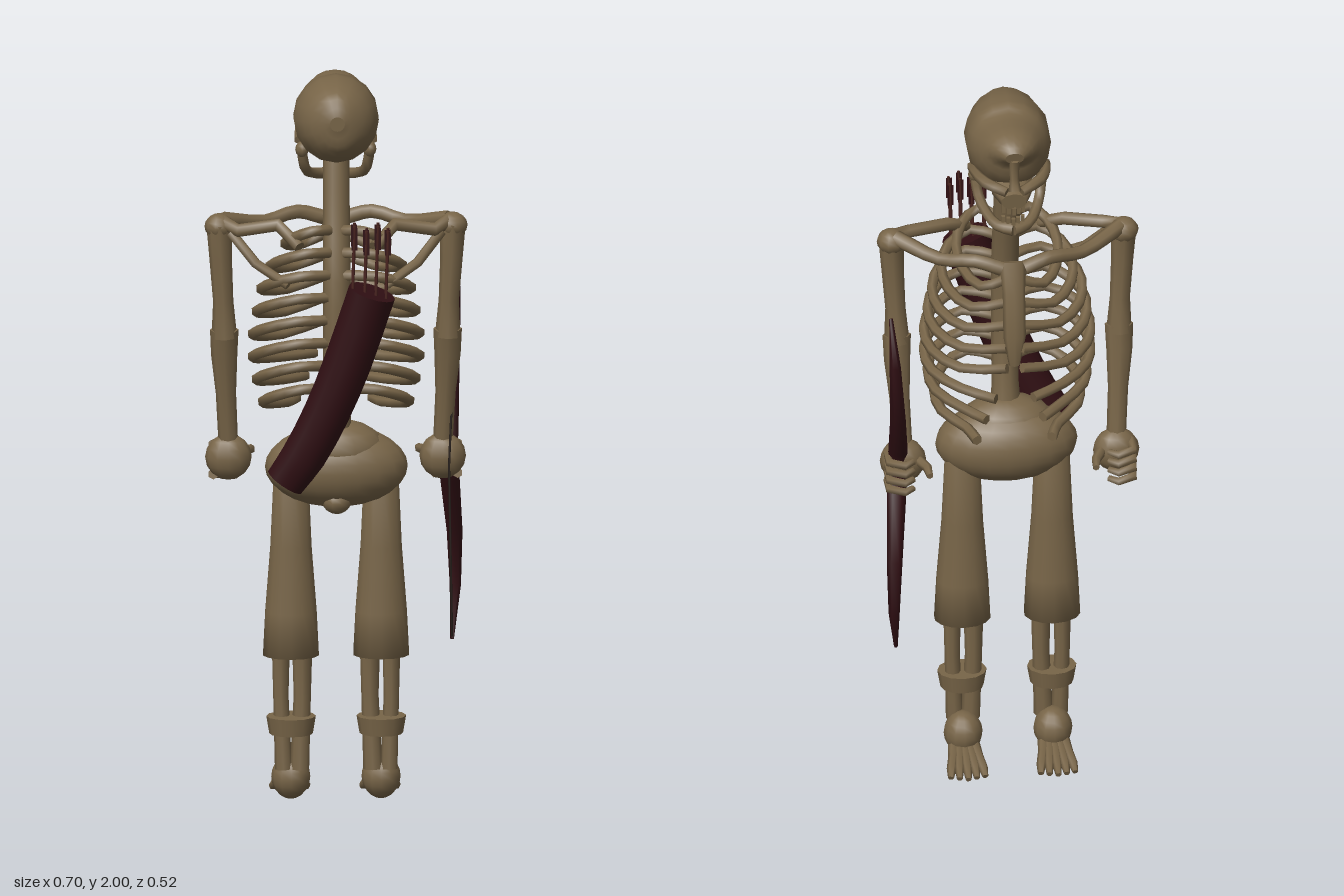
import * as THREE from 'three';

const mat = (name, color) => {
  const m = new THREE.MeshStandardMaterial({ color, side: THREE.DoubleSide });
  m.name = name;
  return m;
};

export function createModel() {
  const root = new THREE.Group();
  root.name = 'skeletonArcher';
  const bone = mat('bone', 0x786548);
  const leather = mat('dark red leather', 0x300f13);
  const cord = mat('dark cord', 0x2a211c);
  const shaft = mat('arrow wood', 0x4a2420);

  const add = (name, geo, material = bone, pos = [0, 0, 0], parent = root) => {
    const m = new THREE.Mesh(geo, material);
    m.name = name;
    m.position.set(...pos);
    parent.add(m);
    return m;
  };

  // Capped tube through points [x, y, z, radius along ref, radius across]
  const loft = (pts, { sides = 8, ref = [1, 0, 0], smooth = 0 } = {}) => {
    let st = pts.map(([x, y, z, a, b = a]) => ({ p: new THREE.Vector3(x, y, z), a, b }));
    if (smooth) {
      const curve = new THREE.CatmullRomCurve3(st.map(s => s.p));
      const n = smooth * (st.length - 1), src = st;
      st = Array.from({ length: n + 1 }, (_, i) => {
        const k = Math.min(Math.floor(i / smooth), src.length - 2), f = i / smooth - k;
        return {
          p: curve.getPoint(i / n),
          a: THREE.MathUtils.lerp(src[k].a, src[k + 1].a, f),
          b: THREE.MathUtils.lerp(src[k].b, src[k + 1].b, f),
        };
      });
    }
    const pos = [], idx = [], last = st.length - 1, up = new THREE.Vector3(...ref);
    const ring = i => {
      const t = st[Math.min(i + 1, last)].p.clone().sub(st[Math.max(i - 1, 0)].p).normalize();
      const s = up.clone().addScaledVector(t, -up.dot(t)).normalize();
      const b = t.clone().cross(s);
      for (let j = 0; j < sides; j++) {
        const w = j / sides * Math.PI * 2;
        pos.push(...st[i].p.clone().addScaledVector(s, st[i].a * Math.cos(w))
          .addScaledVector(b, st[i].b * Math.sin(w)).toArray());
      }
    };
    st.forEach((_, i) => ring(i));
    for (let i = 0; i < last; i++) for (let j = 0; j < sides; j++) {
      const k = (j + 1) % sides, A = i * sides, B = A + sides;
      idx.push(A + j, A + k, B + j, A + k, B + k, B + j);
    }
    for (const end of [0, last]) {
      const o = pos.length / 3;
      ring(end);
      pos.push(...st[end].p.toArray());
      for (let j = 0; j < sides; j++) {
        const k = (j + 1) % sides;
        idx.push(o + sides, o + (end ? j : k), o + (end ? k : j));
      }
    }
    const g = new THREE.BufferGeometry();
    g.setAttribute('position', new THREE.Float32BufferAttribute(pos, 3));
    g.setIndex(idx);
    g.computeVertexNormals();
    return g;
  };
  const ball = (rx, ry, rz, w = 14, h = 10) => new THREE.SphereGeometry(1, w, h).scale(rx, ry, rz);
  const flip = (s, pts) => pts.map(([x, ...r]) => [x * s, ...r]);
  const Y = [0, 1, 0], Z = [0, 0, 1];

  // Cranium, lofted from the back of the head to the brow
  add('cranium', loft([
    [0, 1.90, 0.12, 0.02, 0.02], [0, 1.90, 0.108, 0.065, 0.05], [0, 1.895, 0.07, 0.095, 0.09],
    [0, 1.885, 0.01, 0.115, 0.113], [0, 1.882, -0.06, 0.118, 0.113], [0, 1.90, -0.115, 0.093, 0.098],
    [0, 1.925, -0.155, 0.06, 0.078], [0, 1.932, -0.195, 0.037, 0.052], [0, 1.928, -0.218, 0.018, 0.025],
  ], { sides: 16, ref: Y, smooth: 2 }));
  // Face around the open sockets
  add('noseBridge', loft([[0, 1.92, -0.212, 0.014], [0, 1.86, -0.207, 0.012], [0, 1.83, -0.222, 0.017]], { sides: 6 }));
  add('upperJaw', loft([[0, 1.81, -0.10, 0.035, 0.06], [0, 1.79, -0.15, 0.035, 0.055], [0, 1.785, -0.2, 0.025, 0.035]],
    { sides: 10, ref: Y }));
  for (const s of [-1, 1]) {
    add('cheekBone', loft(flip(s, [[0.098, 1.815, -0.05, 0.013], [0.095, 1.83, -0.11, 0.013],
      [0.072, 1.828, -0.165, 0.016], [0.02, 1.815, -0.2, 0.014]]), { sides: 6, ref: Y, smooth: 2 }));
    add('jawHinge', ball(0.018, 0.022, 0.02, 8, 6), bone, [s * 0.09, 1.79, -0.05]);
    add('jaw', loft(flip(s, [[0.09, 1.79, -0.05, 0.014], [0.082, 1.735, -0.07, 0.014],
      [0.065, 1.708, -0.12, 0.014], [0.04, 1.695, -0.165, 0.015], [0, 1.692, -0.185, 0.018]]),
    { sides: 7, ref: [s, 0, 0], smooth: 2 }));
  }
  for (let i = -2; i <= 2; i++) {
    const z = -0.197 + Math.abs(i) * 0.008;
    add('upperTooth', new THREE.BoxGeometry(0.01, 0.022, 0.01), bone, [i * 0.013, 1.755, z]);
    add('lowerTooth', new THREE.BoxGeometry(0.01, 0.02, 0.01), bone, [i * 0.013, 1.715, z + 0.012]);
  }

  // Spine
  add('spine', loft([[0, 1.80, -0.035, 0.035], [0, 1.62, 0.005, 0.036], [0, 1.45, 0.045, 0.037],
    [0, 1.25, 0.05, 0.036], [0, 1.1, 0.035, 0.036], [0, 0.98, 0.02, 0.045]], { sides: 10, smooth: 3 }));

  // Breastbone
  add('breastbone', loft([[0, 1.58, -0.165, 0.035, 0.016], [0, 1.50, -0.195, 0.03, 0.016],
    [0, 1.38, -0.215, 0.03, 0.016], [0, 1.29, -0.21, 0.015, 0.01]], { sides: 8 }));

  // Ribs slope down towards the front; the lowest stay open
  const ribWidth = [0.135, 0.175, 0.2, 0.212, 0.222, 0.222, 0.212, 0.195];
  for (const s of [-1, 1]) ribWidth.forEach((w, i) => {
    const y = 1.56 - i * 0.062, front = i < 5 ? 0.02 : 0.05 + (i - 5) * 0.025;
    const zf = -0.17 - Math.min(i, 3) * 0.015;
    add('rib', loft(flip(s, [
      [0.02, y + 0.035, 0.06], [w * 0.5, y + 0.04, 0.092], [w * 0.85, y + 0.015, 0.06],
      [w, y - 0.015, -0.005], [w * 0.93, y - 0.04, -0.08],
      [w * 0.62, y - 0.055, -0.155], [front, y - (i < 5 ? 0.03 : 0.06), zf],
    ]).map(p => [...p, 0.0145]), { sides: 6, ref: Y, smooth: 2 }));
  });

  for (const s of [-1, 1]) {
    // Collar bone and shoulder blade
    add('collarBone', loft(flip(s, [[0.03, 1.57, -0.18, 0.02], [0.1, 1.59, -0.165, 0.019],
      [0.19, 1.575, -0.12, 0.018], [0.3, 1.6, -0.04, 0.022]]), { sides: 7, ref: Y, smooth: 3 }));
    add('shoulderBladeRidge', loft(flip(s, [[0.1, 1.555, 0.085, 0.016], [0.155, 1.6, 0.02, 0.018],
      [0.26, 1.585, 0.018, 0.018], [0.305, 1.6, -0.03, 0.02]]), { sides: 7, ref: Y }));
    add('shoulderBladeEdge', loft(flip(s, [[0.28, 1.575, 0.0, 0.014], [0.215, 1.5, 0.04, 0.014],
      [0.13, 1.45, 0.085, 0.013]]), { sides: 6, ref: Z }));

    // Arm
    add('shoulderJoint', ball(0.04, 0.035, 0.038, 10, 8), bone, [s * 0.31, 1.585, -0.03]);
    add('upperArm', loft(flip(s, [[0.31, 1.59, -0.028, 0.035], [0.307, 1.5, -0.025, 0.03],
      [0.3, 1.38, -0.03, 0.027], [0.297, 1.28, -0.035, 0.034]]), { sides: 8 }));
    add('forearm', loft(flip(s, [[0.297, 1.3, -0.035, 0.038, 0.03], [0.297, 1.23, -0.045, 0.035, 0.026],
      [0.292, 1.12, -0.06, 0.027, 0.022], [0.285, 0.97, -0.078, 0.026, 0.024]]), { sides: 8 }));
    // Closed hand with curled fingers
    add('hand', ball(0.062, 0.063, 0.045, 12, 8), bone, [s * 0.285, 0.94, -0.08]);
    for (let i = 0; i < 4; i++) {
      const y = 0.97 - i * 0.027;
      add('finger', loft(flip(s, [[0.325, y, -0.09, 0.014], [0.325, y - 0.008, -0.13, 0.013],
        [0.285, y - 0.012, -0.145, 0.012], [0.262, y - 0.012, -0.125, 0.009]]), { sides: 6, ref: Y }));
    }
    add('thumb', loft(flip(s, [[0.25, 0.95, -0.09, 0.015], [0.225, 0.945, -0.14, 0.013],
      [0.222, 0.94, -0.175, 0.009]]), { sides: 6, ref: Y }));

    // Trouser leg, flaring to the hem
    const leg = new THREE.LatheGeometry([[0, 0], [0.076, 0], [0.07, 0.12], [0.056, 0.3], [0.047, 0.5], [0, 0.53]]
      .map(([x, y]) => new THREE.Vector2(x, y)), 14);
    leg.scale(1, 1, 0.8);
    add('trouserLeg', leg, bone, [s * 0.12, 0.412, -0.018]);

    // Paired shin bones, ankle cuff and foot
    for (const [x, r] of [[0.09, 0.027], [0.147, 0.024]])
      add('shinBone', loft(flip(s, [[x, 0.44, -0.018, r], [x, 0.3, -0.018, r * 0.85],
        [x + (0.12 - x) * 0.25, 0.1, -0.01, r * 0.95]]), { sides: 8 }));
    add('ankleCuff', new THREE.CylinderGeometry(0.066, 0.058, 0.048, 12).scale(1, 1, 0.82), bone, [s * 0.12, 0.222, -0.01]);
    add('heel', ball(0.052, 0.06, 0.055, 12, 10), bone, [s * 0.12, 0.072, -0.04]);
    for (let i = 0; i < 5; i++) {
      const d = (i - 2) * 0.5;
      add('toe', loft(flip(s, [[0.12 + d * 0.025, 0.045, -0.06, 0.018], [0.12 + d * 0.034, 0.036, -0.11, 0.013],
        [0.12 + d * 0.042, 0.022, -0.15, 0.013], [0.12 + d * 0.046, 0.009, -0.188 + Math.abs(d) * 0.012, 0.008]]), { sides: 6 }));
    }
  }

  // Pelvis
  add('pelvis', ball(0.19, 0.11, 0.105, 20, 14), bone, [0, 0.935, 0.005]);
  add('pelvisTop', ball(0.13, 0.08, 0.085, 16, 10), bone, [0, 0.985, 0.015]);
  add('tailBone', ball(0.04, 0.035, 0.04, 10, 8), bone, [0, 0.85, 0.05]);

  // Quiver slung across the back
  add('quiver', loft([[-0.14, 0.925, 0.138, 0.055, 0.042], [-0.09, 1.0, 0.15, 0.06, 0.05],
    [-0.03, 1.12, 0.165, 0.062, 0.055], [0.025, 1.26, 0.18, 0.064, 0.058],
    [0.09, 1.46, 0.2, 0.064, 0.06]], { sides: 14, smooth: 2 }), leather);
  for (const z of [0.178, 0.217]) [0.046, 0.078, 0.108, 0.135].forEach((x, i) => {
    const top = i % 2 ? 1.63 : 1.645;
    add('arrowShaft', loft([[x - 0.01, 1.4, z, 0.004], [x - 0.002, top, z, 0.004]], { sides: 5 }), shaft);
    add('arrowFletching', new THREE.BoxGeometry(0.016, 0.06, 0.003), leather, [x - 0.003, top - 0.035, z]);
  });

  // Bow held in the left hand, with the string drawn to the palm
  add('bow', loft([
    [0.312, 0.415, -0.162, 0.005], [0.322, 0.55, -0.215, 0.015, 0.014], [0.32, 0.7, -0.208, 0.021, 0.02],
    [0.305, 0.87, -0.118, 0.026, 0.02], [0.3, 0.935, -0.1, 0.022, 0.018], [0.302, 0.99, -0.118, 0.026, 0.02],
    [0.312, 1.14, -0.215, 0.021, 0.02], [0.322, 1.32, -0.245, 0.015, 0.014], [0.328, 1.44, -0.192, 0.005],
  ], { sides: 6 }), leather);
  add('bowString', loft([[0.312, 0.42, -0.162, 0.003], [0.3, 0.93, -0.005, 0.003], [0.328, 1.437, -0.192, 0.003]],
    { sides: 4 }), cord);

  return root;
}
